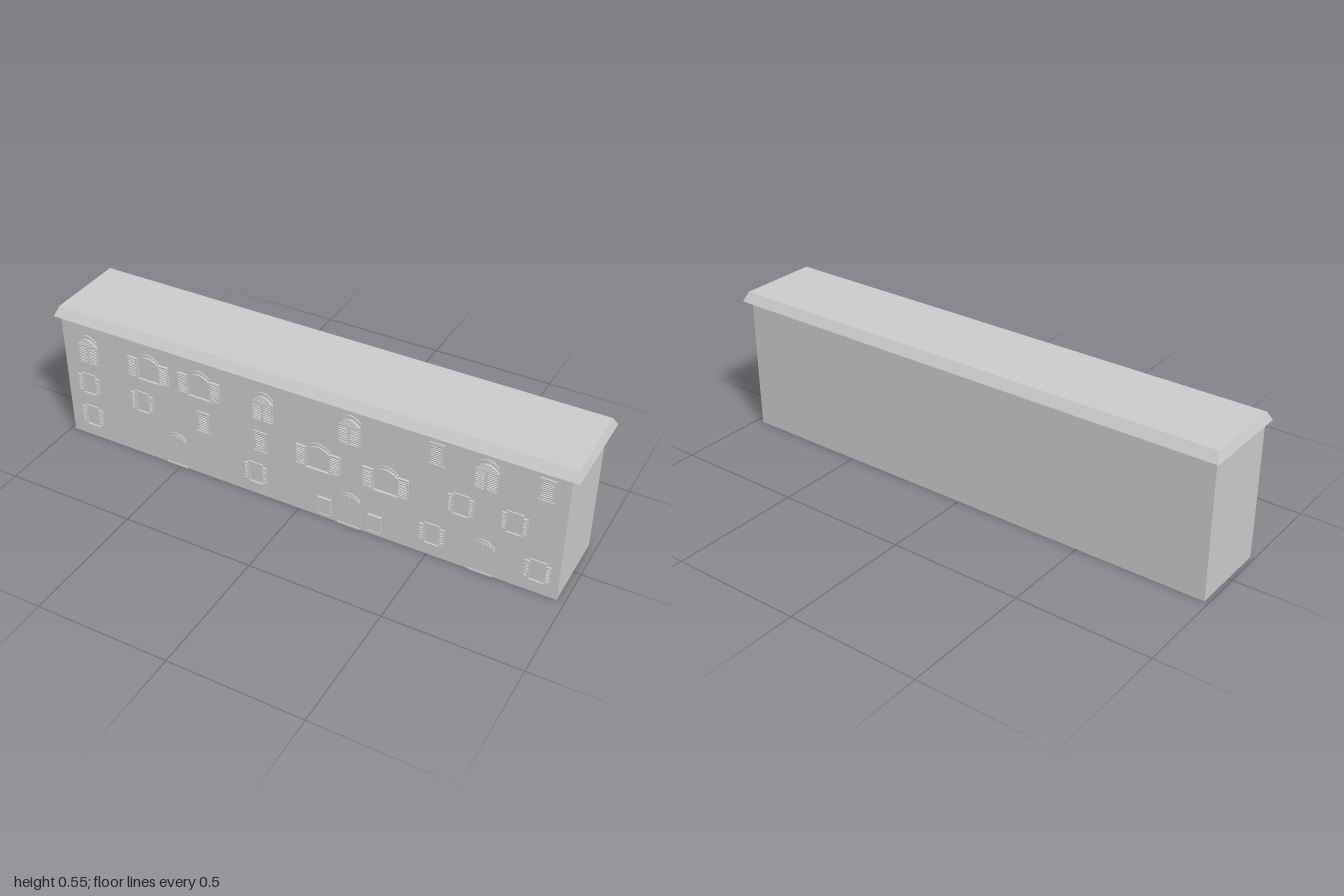
import * as THREE from 'three';

const FRONT = 0.155;

export function createModel() {
  const building = new THREE.Group();
  building.name = 'building';
  const grey = new THREE.MeshStandardMaterial({ color: 0xcccccc });
  grey.name = 'plaster grey';

  const add = (parent, name, geometry) => {
    const mesh = new THREE.Mesh(geometry, grey);
    mesh.name = name;
    parent.add(mesh);
    return mesh;
  };
  // Box from its front-view limits, standing out from the wall by depth
  const plate = (parent, name, x0, x1, y0, y1, depth) => {
    const mesh = add(parent, name, new THREE.BoxGeometry(x1 - x0, y1 - y0, depth));
    mesh.position.set((x0 + x1) / 2, (y0 + y1) / 2, depth / 2);
    return mesh;
  };
  const unit = (name, x, y) => {
    const group = new THREE.Group();
    group.name = name;
    group.position.set(x, y, FRONT);
    building.add(group);
    return group;
  };

  // Height of a shallow arch of half width w above its springing line
  const archY = (x, w, rise) => rise * (1 - (x / w) ** 2);
  // Curved strip following the arch
  const archBand = (parent, name, w, y, rise, thick, depth) => {
    const shape = new THREE.Shape();
    const n = 10;
    for (let i = 0; i <= n; i++) {
      const x = -w + (2 * w * i) / n;
      shape[i ? 'lineTo' : 'moveTo'](x, y + archY(x, w, rise));
    }
    for (let i = n; i >= 0; i--) {
      const x = -w + (2 * w * i) / n;
      shape.lineTo(x, y + archY(x, w, rise) + thick);
    }
    add(parent, name, new THREE.ExtrudeGeometry(shape, { depth, bevelEnabled: false }));
  };

  // Louvred shutter leaf: stiles, rails and tilted slats
  const shutter = (parent, x0, x1, y0, y1, slats, depth) => {
    const t = 0.003;
    plate(parent, 'shutterStile', x0, x0 + t, y0, y1, depth);
    plate(parent, 'shutterStile', x1 - t, x1, y0, y1, depth);
    plate(parent, 'shutterRail', x0, x1, y0, y0 + t, depth);
    plate(parent, 'shutterRail', x0, x1, y1 - t, y1, depth);
    const step = (y1 - y0 - 2 * t) / slats;
    for (let i = 0; i < slats; i++) {
      const y = y0 + t + i * step;
      const slat = plate(parent, 'shutterSlat', x0 + t, x1 - t, y + step * 0.2, y + step * 0.75, depth * 0.6);
      slat.rotation.x = 0.35;
    }
  };

  // Arched window with closed shutters
  const closedArch = (x, y) => {
    const g = unit('closedArchedWindow', x, y);
    const w = 0.041, h = 0.078, rise = 0.022;
    for (const s of [-1, 1]) {
      const [a, b] = s < 0 ? [-w, -0.001] : [0.001, w];
      shutter(g, a, b, 0, h, 10, 0.008);
    }
    for (let i = 0; i < 3; i++) {
      const half = w * Math.sqrt(1 - (i + 0.6) / 3.2);
      plate(g, 'archSlat', -half, half, h + i * 0.007 + 0.001, h + i * 0.007 + 0.005, 0.006);
    }
    archBand(g, 'archFrame', w, h, rise, 0.003, 0.008);
    archBand(g, 'windowHood', w, h + 0.017, rise, 0.003, 0.004);
  };

  // Wide arched window with open shutters
  const openArch = (x, y) => {
    const g = unit('openArchedWindow', x, y);
    const w = 0.046, h = 0.083, rise = 0.022;
    for (const s of [-1, 1]) {
      const [a, b] = s < 0 ? [-0.086, -w] : [w, 0.086];
      shutter(g, a, b, 0.015, 0.095, 10, 0.009);
      plate(g, 'windowJamb', s * w - 0.002, s * w + 0.002, 0.012, h, 0.006);
    }
    archBand(g, 'windowArch', w, h, rise, 0.004, 0.006);
    plate(g, 'windowSill', -w, w, 0, 0.012, 0.009);
    archBand(g, 'windowHood', w, h + 0.015, rise, 0.003, 0.004);
  };

  // Small rectangular window with open shutters
  const openSmall = (x, y) => {
    const g = unit('smallWindow', x, y);
    const w = 0.028, h = 0.09;
    for (const s of [-1, 1]) {
      const [a, b] = s < 0 ? [-0.046, -w] : [w, 0.046];
      shutter(g, a, b, 0.012, 0.08, 8, 0.008);
      plate(g, 'windowJamb', s * w - 0.002, s * w + 0.002, 0, h, 0.005);
    }
    plate(g, 'windowLintel', -w, w, h - 0.004, h, 0.005);
    plate(g, 'windowSill', -w, w, 0, 0.004, 0.007);
  };

  // Narrow window with a closed louvre
  const closedNarrow = (x, y) => {
    const g = unit('narrowWindow', x, y);
    shutter(g, -0.022, 0.022, 0.004, 0.086, 10, 0.006);
    plate(g, 'windowSill', -0.028, 0.028, 0, 0.005, 0.007);
    plate(g, 'windowLintel', -0.028, 0.028, 0.085, 0.09, 0.006);
  };

  // Arched double door
  const door = (x) => {
    const g = unit('archedDoor', x, 0);
    const w = 0.044;
    archBand(g, 'doorArch', w, 0.113, 0.02, 0.003, 0.003);
    archBand(g, 'doorHood', w, 0.124, 0.022, 0.003, 0.004);
    plate(g, 'doorMeeting', -0.003, 0.003, 0.008, 0.128, 0.003);
    plate(g, 'doorStep', -w, w, 0, 0.006, 0.004);
    for (const s of [-1, 1]) plate(g, 'doorJamb', s * w - 0.001, s * w + 0.001, 0.006, 0.113, 0.002);
  };

  // Framed wall panel
  const panel = (x) => {
    const g = unit('wallPanel', x, 0.018);
    plate(g, 'panelBoard', -0.024, 0.024, 0.002, 0.07, 0.006);
    for (const s of [-1, 1]) plate(g, 'panelSide', s * 0.025 - 0.0015, s * 0.025 + 0.0015, 0, 0.072, 0.009);
    for (const y of [0, 0.069]) plate(g, 'panelEdge', -0.025, 0.025, y, y + 0.003, 0.009);
  };

  // Main block
  const body = add(building, 'walls', new THREE.BoxGeometry(1.957, 0.505, 2 * FRONT));
  body.position.set(-0.0065, 0.2525, 0);

  // Roof slab with flared eaves: one unit box tapered per layer
  const layer = (name, y0, y1, bottom, top) => {
    const geometry = new THREE.BoxGeometry(2, y1 - y0, 2).toNonIndexed();
    const p = geometry.attributes.position;
    for (let i = 0; i < p.count; i++) {
      const [hx, hz] = p.getY(i) > 0 ? top : bottom;
      p.setX(i, Math.sign(p.getX(i)) * hx);
      p.setZ(i, Math.sign(p.getZ(i)) * hz);
    }
    geometry.computeVertexNormals();
    add(building, name, geometry).position.y = (y0 + y1) / 2;
  };
  layer('eaves', 0.502, 0.513, [0.98, 0.155], [1, 0.177]);
  layer('roof', 0.513, 0.548, [1, 0.177], [0.987, 0.154]);

  // Upper floor
  for (const [x, y] of [[-0.875, 0.337], [-0.139, 0.337], [0.198, 0.36], [0.693, 0.36]]) closedArch(x, y);
  for (const x of [-0.612, -0.398]) openArch(x, 0.335);
  for (const x of [0.516, 0.896]) closedNarrow(x, 0.39);
  // Middle floor
  for (const [x, y] of [[-0.888, 0.195], [-0.65, 0.195], [0.612, 0.216], [0.802, 0.216]]) openSmall(x, y);
  for (const x of [-0.388, -0.152]) closedNarrow(x, 0.195);
  for (const x of [0.078, 0.337]) openArch(x, 0.195);
  // Ground floor
  for (const x of [-0.888, -0.174, 0.516, 0.896]) openSmall(x, 0.05);
  for (const x of [-0.513, 0.2, 0.7]) door(x);
  for (const x of [0.104, 0.3]) panel(x);

  return building;
}
